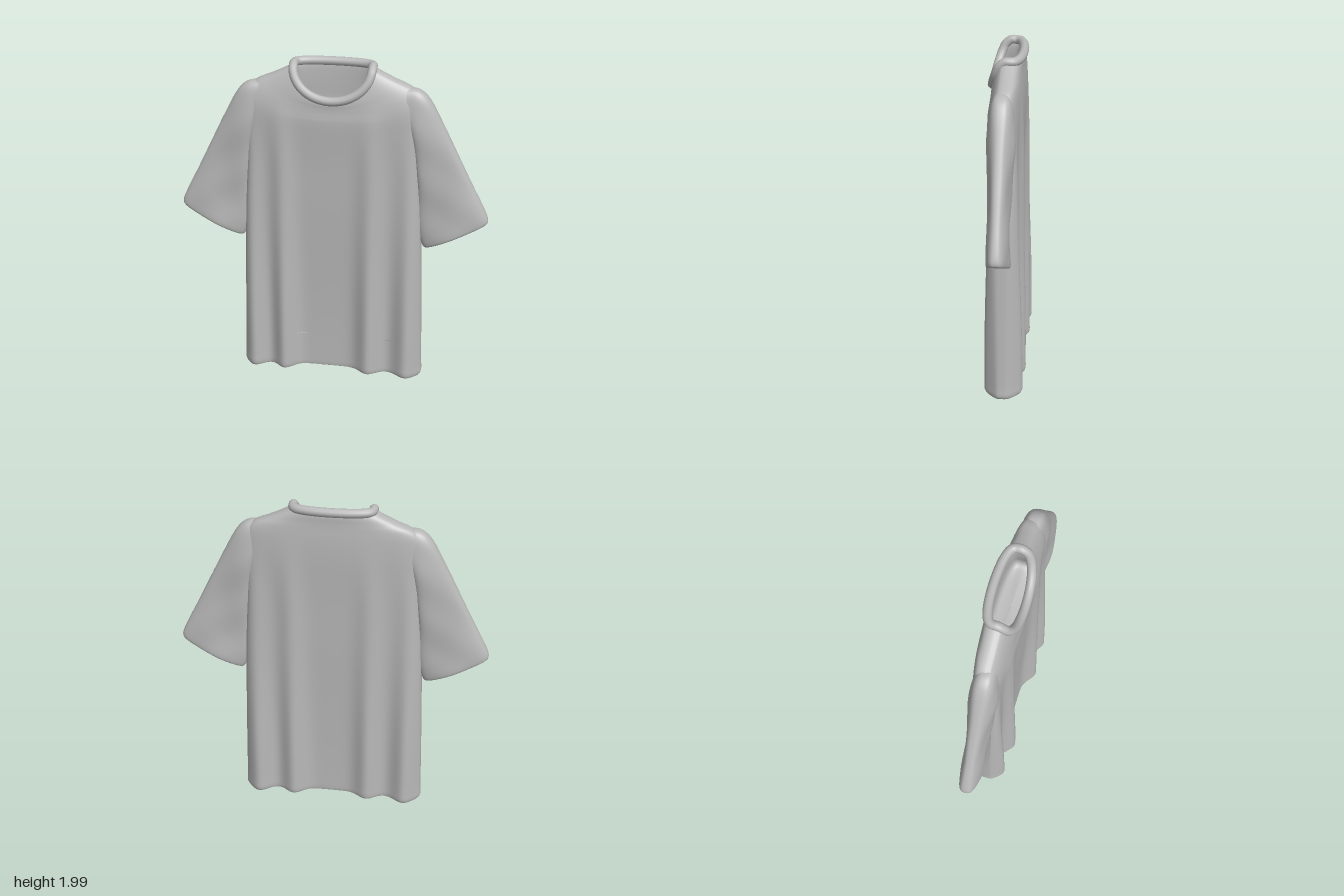
import * as THREE from 'three';

const SEG = 160;

// Catmull-Rom sampling of a table of rows
function sample(rows, steps) {
  const out = [], n = rows.length - 1;
  const at = (i) => rows[Math.min(Math.max(i, 0), n)];
  for (let s = 0; s <= steps; s++) {
    const f = (s / steps) * n, i = Math.min(Math.floor(f), n - 1), t = f - i;
    out.push(rows[0].map((_, k) => {
      const [a, b, c, d] = [at(i - 1)[k], at(i)[k], at(i + 1)[k], at(i + 2)[k]];
      return b + 0.5 * t * (c - a + t * (2 * a - 5 * b + 4 * c - d + t * (3 * (b - c) + d - a)));
    }));
  }
  return out;
}

// Skin over closed rings of points
function loft(rings) {
  const n = rings[0].length, index = [];
  for (let i = 0; i < rings.length - 1; i++) {
    for (let j = 0; j < n; j++) {
      const a = i * n + j, b = i * n + (j + 1) % n, c = a + n, d = b + n;
      index.push(a, c, b, b, c, d);
    }
  }
  const geo = new THREE.BufferGeometry().setFromPoints(rings.flat());
  geo.setIndex(index);
  geo.computeVertexNormals();
  return geo;
}

// Hanging folds: [x, height, width] of each ridge
const frontFolds = [[-0.49, 0.1, 0.07], [-0.29, 0.085, 0.065], [0.23, 0.075, 0.07], [0.47, 0.1, 0.08]];
const backFolds = [[-0.46, 0.095, 0.08], [-0.22, 0.065, 0.07], [0.24, 0.07, 0.07], [0.47, 0.1, 0.08]];

function depth(x, y, front) {
  const folds = front ? frontFolds : backFolds;
  let d = front ? 0.045 : 0.06;
  for (const [cx, h, w] of folds) d += h * Math.exp(-(((x - cx) / w) ** 2));
  const k = 1 - 0.6 * THREE.MathUtils.smoothstep(y, 0.2, 1.4) - 0.4 * THREE.MathUtils.smoothstep(y, 1.3, 1.85);
  return THREE.MathUtils.lerp(0.1, d, k);
}

// One torso ring: height, half width, depth factor, drop at the front
function torsoRing([y, w, m, drop], n = SEG) {
  const ring = [];
  for (let j = 0; j < n; j++) {
    const a = (j / n) * Math.PI * 2, s = Math.sin(a), x = w * Math.cos(a);
    const py = y - (s > 0 ? drop * s : 0) + 0.02 * s * s * Math.max(0, 1 - y / 0.4);
    const z = Math.sign(s) * Math.abs(s) ** 0.5 * m * depth(x, py, s > 0);
    ring.push(new THREE.Vector3(x, py, z));
  }
  return ring;
}

const NECK = [1.972, 0.225, 0.88, 0.185];

const torsoRows = [
  [0.015, 0.545, 0.95, 0], [0.04, 0.556, 1, 0], [0.12, 0.552, 1, 0], [0.45, 0.543, 1, 0],
  [0.8, 0.532, 1, 0], [1.1, 0.52, 1.02, 0], [1.4, 0.502, 1.04, 0], [1.6, 0.5, 1.04, 0.01],
  [1.72, 0.505, 1.02, 0.06], [1.81, 0.495, 0.98, 0.12], [1.865, 0.45, 0.94, 0.15],
  [1.905, 0.36, 0.92, 0.165], [1.94, 0.285, 0.92, 0.18], NECK,
];

// Turned-in hem and the closed inside, bottom and neck
const hemRows = [
  [0.26, 0.01, 0.02, 0], [0.25, 0.5, 0.8, 0], [0.12, 0.525, 0.86, 0], [0.03, 0.53, 0.86, 0],
  [0.012, 0.538, 0.9, 0], [0.015, 0.545, 0.95, 0],
];
const neckRows = [
  NECK, [1.93, 0.215, 0.82, 0.17], [1.84, 0.23, 0.8, 0.12], [1.74, 0.26, 0.8, 0.06],
  [1.7, 0.22, 0.6, 0.03], [1.69, 0.01, 0.02, 0],
];

// Sleeve sections: top x, y, underside x, y, half thickness
const sleeveRows = [
  [0.42, 1.865, 0.44, 1.62, 0.07], [0.49, 1.858, 0.465, 1.5, 0.077], [0.555, 1.8, 0.485, 1.36, 0.074],
  [0.64, 1.645, 0.495, 1.24, 0.066], [0.73, 1.465, 0.5, 1.12, 0.06], [0.81, 1.305, 0.505, 1.03, 0.058],
  [0.87, 1.19, 0.515, 0.965, 0.062], [0.905, 1.115, 0.53, 0.915, 0.065], [0.912, 1.08, 0.545, 0.892, 0.063],
  [0.9, 1.062, 0.56, 0.89, 0.056],
];
const cuffRows = [
  [0.9, 1.062, 0.56, 0.89, 0.056], [0.885, 1.065, 0.57, 0.905, 0.048], [0.85, 1.14, 0.56, 0.98, 0.046],
  [0.79, 1.25, 0.57, 1.1, 0.04], [0.68, 1.18, 0.66, 1.17, 0.003],
];

function sleeveRing([ax, ay, bx, by, dz], side) {
  const ring = [], n = 72;
  for (let j = 0; j < n; j++) {
    const p = (j / n) * Math.PI * 2 * side, c = Math.cos(p), s = -Math.sin(p);
    const x = (ax + bx) / 2 + c * (ax - bx) / 2, y = (ay + by) / 2 + c * (ay - by) / 2;
    // soft creases running down the sleeve
    const crease = 1 + 0.08 * Math.sin(x * 17 + y * 9) * Math.sin(y * 13 - x * 6);
    ring.push(new THREE.Vector3(side * x, y, Math.sign(s) * Math.abs(s) ** 0.7 * dz * crease));
  }
  return ring;
}

export function createModel() {
  const group = new THREE.Group();
  const cloth = new THREE.MeshStandardMaterial({ color: 0xb8b8b8, side: THREE.DoubleSide });
  cloth.name = 'grey cloth';
  const add = (name, geo) => {
    const mesh = new THREE.Mesh(geo, cloth);
    mesh.name = name;
    group.add(mesh);
  };

  add('torso', loft(sample(torsoRows, 78).map((r) => torsoRing(r))));
  add('hemLining', loft(hemRows.map((r) => torsoRing(r))));
  add('neckLining', loft(sample(neckRows, 20).map((r) => torsoRing(r))));

  // Ribbed collar band along the neckline
  const neckline = new THREE.CatmullRomCurve3(torsoRing(NECK, 48), true);
  add('collar', new THREE.TubeGeometry(neckline, 128, 0.026, 12, true));

  for (const [side, name] of [[1, 'left'], [-1, 'right']]) {
    add(name + 'Sleeve', loft(sample(sleeveRows, 45).map((r) => sleeveRing(r, side))));
    add(name + 'CuffLining', loft(cuffRows.map((r) => sleeveRing(r, side))));
  }
  return group;
}
